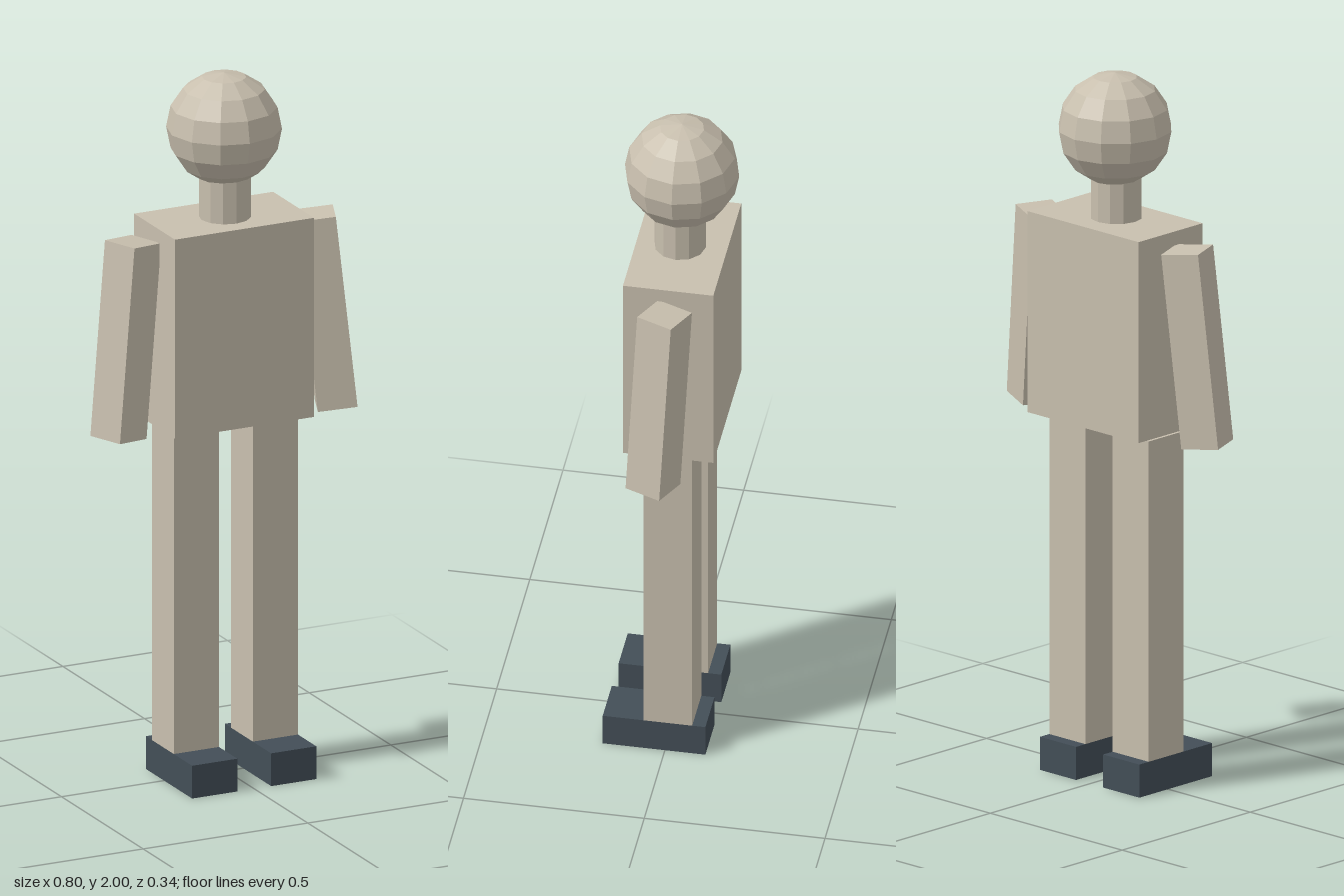
import * as THREE from 'three';

export function createModel() {
  const group = new THREE.Group();
  const body = new THREE.MeshStandardMaterial({ color: 0xc8bfae, flatShading: true });
  const dark = new THREE.MeshStandardMaterial({ color: 0x434e57, flatShading: true });

  const add = (name, geometry, material, x, y, z) => {
    const mesh = new THREE.Mesh(geometry, material);
    mesh.name = name;
    mesh.position.set(x, y, z);
    group.add(mesh);
    return mesh;
  };

  // Head, neck and torso
  add('head', new THREE.SphereGeometry(0.158, 12, 8), body, 0, 1.842, -0.013);
  add('neck', new THREE.CylinderGeometry(0.071, 0.071, 0.14, 12), body, 0, 1.655, -0.008);
  add('torso', new THREE.BoxGeometry(0.422, 0.571, 0.25), body, 0, 1.303, -0.013);

  // Limbs, mirrored left (+x) and right (-x)
  const legGeometry = new THREE.BoxGeometry(0.137, 0.91, 0.135);
  const shoeGeometry = new THREE.BoxGeometry(0.137, 0.094, 0.284);
  const armGeometry = new THREE.BoxGeometry(0.109, 0.55, 0.108);
  for (const [side, s] of [['left', 1], ['right', -1]]) {
    add(side + 'Leg', legGeometry, body, s * 0.12, 0.549, -0.008);
    add(side + 'Shoe', shoeGeometry, dark, s * 0.12, 0.047, 0.03);
    // Arms hang slightly outward and are turned toward the front
    const arm = add(side + 'Arm', armGeometry, body, s * 0.303, 1.281, -0.004);
    arm.rotation.set(0, s * -0.38, s * 0.108);
  }
  return group;
}
